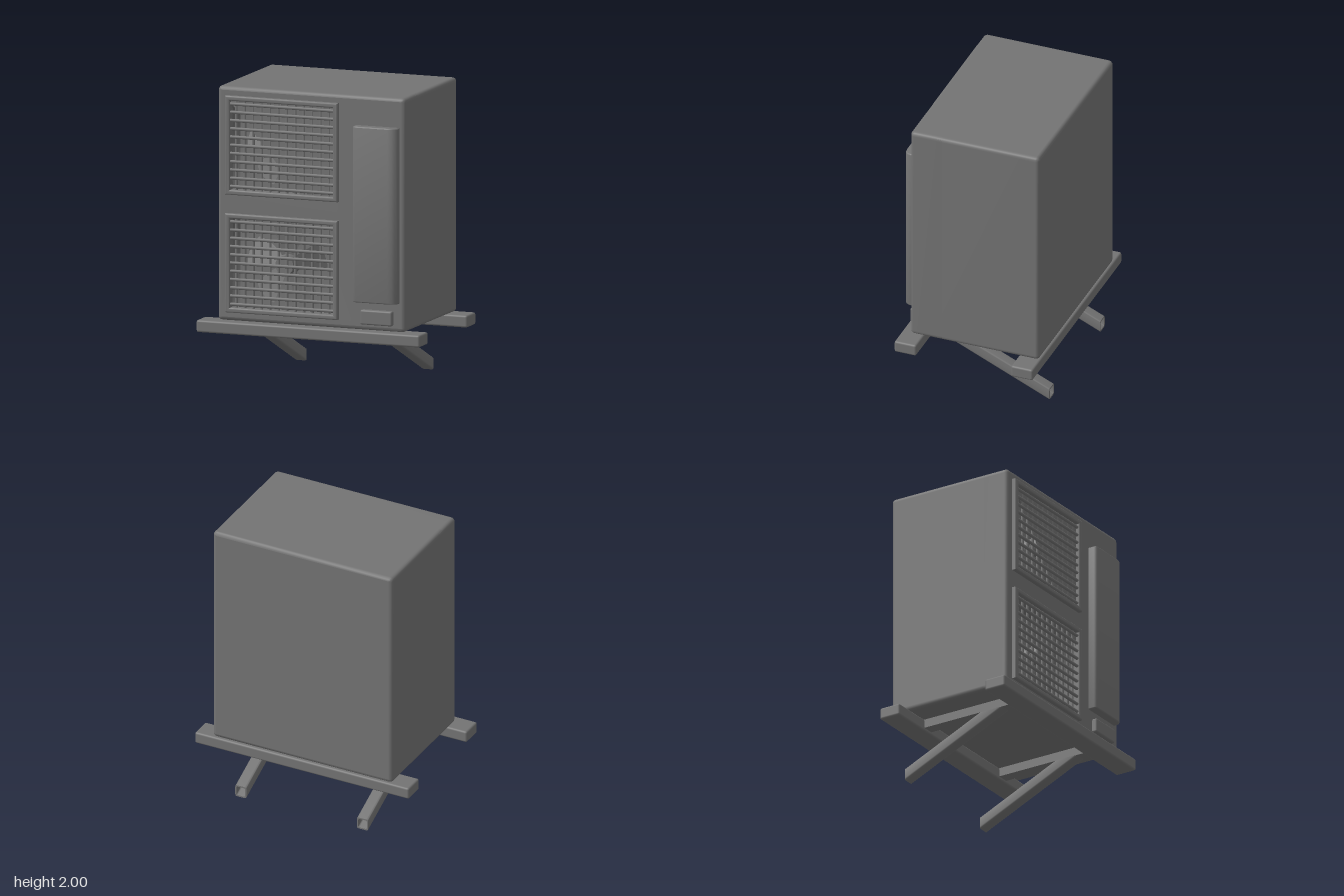
import * as THREE from 'three';
import { mergeVertices, toCreasedNormals } from 'three/addons/utils/BufferGeometryUtils.js';
import { RoundedBoxGeometry } from 'three/addons/geometries/RoundedBoxGeometry.js';

const COLOR = 0x737373;
const paint = new THREE.MeshStandardMaterial({ color: COLOR });
const paintThin = new THREE.MeshStandardMaterial({ color: COLOR, side: THREE.DoubleSide });

function add(parent, name, geometry, x = 0, y = 0, z = 0, material = paint) {
  const mesh = new THREE.Mesh(geometry, material);
  mesh.name = name;
  mesh.position.set(x, y, z);
  parent.add(mesh);
  return mesh;
}

// Rounded rectangle outline, usable as a shape or as a hole
function roundRect(x0, x1, y0, y1, r, Type = THREE.Shape) {
  const s = new Type();
  s.moveTo(x0 + r, y0);
  s.lineTo(x1 - r, y0).quadraticCurveTo(x1, y0, x1, y0 + r);
  s.lineTo(x1, y1 - r).quadraticCurveTo(x1, y1, x1 - r, y1);
  s.lineTo(x0 + r, y1).quadraticCurveTo(x0, y1, x0, y1 - r);
  s.lineTo(x0, y0 + r).quadraticCurveTo(x0, y0, x0 + r, y0);
  return s;
}

// Sharp-cornered rectangle given by centre and half sizes
function rect(cx, cy, w, h, Type = THREE.Shape) {
  return new Type([[-w, -h], [w, -h], [w, h], [-w, h]].map(([x, y]) => new THREE.Vector2(cx + x, cy + y)));
}

// Extrude from z0 to z1 with a bevel that stays inside the outline
function slab(shape, z0, z1, bevel) {
  const g = new THREE.ExtrudeGeometry(shape, {
    depth: z1 - z0 - 2 * bevel, curveSegments: 4,
    bevelThickness: bevel, bevelSize: bevel, bevelOffset: -bevel, bevelSegments: 3,
  });
  return g.translate(0, 0, z0 + bevel);
}

// Area-weighted smooth normals: large faces stay flat, bevels blend
function smooth(geometry) {
  geometry.deleteAttribute('uv');
  geometry.deleteAttribute('normal');
  const g = mergeVertices(geometry, 1e-5);
  g.computeVertexNormals();
  return g;
}

const FAN_X = -0.2075, FAN_Y = [1.605, 0.805];
const HALF_W = 0.372, HALF_H = 0.303;

// Protective frame, grille and fan around one opening
function createFanUnit() {
  const unit = new THREE.Group();
  unit.name = 'fanUnit';

  const rim = rect(0, 0, 0.4075, 0.336);
  rim.holes.push(rect(0, 0, HALF_W, HALF_H, THREE.Path));
  add(unit, 'grilleFrame', toCreasedNormals(slab(rim, 0.39, 0.465, 0.01), 0.7));

  const horizontal = new THREE.CylinderGeometry(0.011, 0.011, 2 * HALF_W, 8).rotateZ(Math.PI / 2);
  for (let i = 0; i < 11; i++) {
    add(unit, 'grilleHorizontalBar', horizontal, 0, -0.28 + i * 0.056, 0.445);
  }
  const vertical = new THREE.CylinderGeometry(0.01, 0.01, 2 * HALF_H, 8);
  for (let i = 0; i < 12; i++) {
    add(unit, 'grilleVerticalBar', vertical, -0.3355 + i * 0.061, 0, 0.43);
  }

  const fan = new THREE.Group();
  fan.name = 'fan';
  fan.position.z = 0.35;
  unit.add(fan);
  add(fan, 'fanHub', new THREE.CylinderGeometry(0.065, 0.075, 0.11, 24).rotateX(Math.PI / 2));

  // Broad blade, pitched about its radial line
  const outline = new THREE.Shape();
  outline.moveTo(0.05, -0.035);
  outline.quadraticCurveTo(0.16, -0.11, 0.26, -0.1);
  outline.quadraticCurveTo(0.3, 0, 0.26, 0.09);
  outline.quadraticCurveTo(0.15, 0.06, 0.05, 0.035);
  const blade = new THREE.ShapeGeometry(outline, 8).rotateX(0.35);
  for (let i = 0; i < 5; i++) {
    add(fan, 'fanBlade', blade, 0, 0, 0, paintThin).rotation.z = Math.PI / 2 + (i * Math.PI * 2) / 5;
  }
  return unit;
}

// Sloping hollow tube, cut upright at the back and level under the crossbar
function legGeometry() {
  const slope = 0.443, h = 0.085, w = 0.0425, zBack = -0.497;
  const section = roundRect(-w, w, 0, h, 0.015);
  section.holes.push(roundRect(-w + 0.01, w - 0.01, 0.01, h - 0.01, 0.01, THREE.Path));
  const g = new THREE.ExtrudeGeometry(section, { depth: 1, bevelEnabled: false, curveSegments: 4 });
  const p = g.attributes.position;
  for (let i = 0; i < p.count; i++) {
    const y = p.getY(i);
    const run = p.getZ(i) > 0.5 ? (0.348 - y) / slope : 0;
    p.setXYZ(i, p.getX(i), y + run * slope, zBack + run);
  }
  return toCreasedNormals(g, 0.7);
}

export function createModel() {
  const model = new THREE.Group();
  model.name = 'outdoorUnit';

  // Cabinet: closed rear part and a front part with two fan openings
  const cabinet = () => roundRect(-0.677, 0.677, 0.41, 2, 0.03);
  add(model, 'cabinetRear', smooth(slab(cabinet(), -0.49, 0.27, 0.025)));
  const front = cabinet();
  for (const y of FAN_Y) front.holes.push(rect(FAN_X, y, HALF_W, HALF_H, THREE.Path));
  add(model, 'cabinetFront', smooth(slab(front, 0.18, 0.435, 0.025)));

  for (const y of FAN_Y) {
    const unit = createFanUnit();
    unit.position.set(FAN_X, y, 0);
    model.add(unit);
  }

  // Raised service cover: plan outline, more rounded at the outer corner, run upward
  const plan = new THREE.Shape();
  plan.moveTo(0.64, -0.4);
  plan.lineTo(0.32, -0.4);
  plan.lineTo(0.32, -0.475);
  plan.quadraticCurveTo(0.32, -0.497, 0.345, -0.497);
  plan.lineTo(0.575, -0.497);
  plan.quadraticCurveTo(0.64, -0.497, 0.64, -0.445);
  const cover = slab(plan, 0.605, 1.8, 0.008).rotateX(-Math.PI / 2);
  add(model, 'serviceCover', toCreasedNormals(cover, 0.7));
  add(model, 'smallPlate', new RoundedBoxGeometry(0.23, 0.1, 0.07, 2, 0.012), 0.48, 0.502, 0.435);

  // Support frame: long rails, crossbars and sloping legs
  const rail = new RoundedBoxGeometry(1.615, 0.083, 0.157, 2, 0.014);
  add(model, 'frontRail', rail, 0, 0.3685, 0.42);
  add(model, 'backRail', rail, 0, 0.3685, -0.42);
  const leg = legGeometry();
  for (const side of [-1, 1]) {
    add(model, 'crossbar', new THREE.BoxGeometry(0.085, 0.06, 0.72), side * 0.459, 0.375, 0);
    add(model, 'leg', leg, side * 0.459, 0, 0);
  }
  return model;
}
